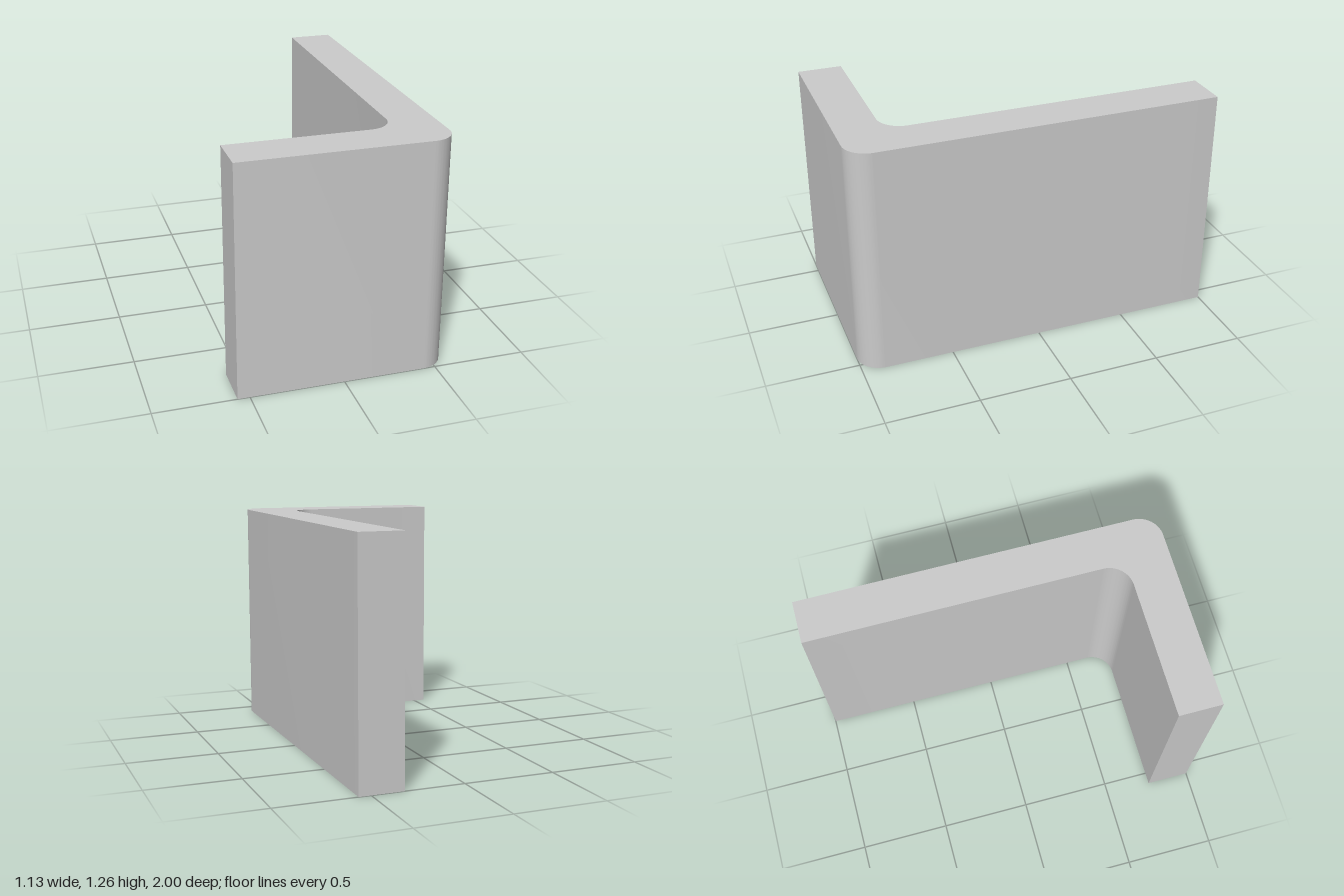
import * as THREE from 'three';
import { toCreasedNormals } from 'three/addons/utils/BufferGeometryUtils.js';

export function createModel() {
  const halfWidth = 0.565, halfDepth = 1, height = 1.265;
  const thickness = 0.24, radius = 0.13;

  // L-shaped profile seen from above; shape y is -z
  const outerX = halfWidth, innerX = halfWidth - thickness;
  const outerY = -halfDepth, innerY = -halfDepth + thickness;
  const profile = new THREE.Shape();
  profile.moveTo(-halfWidth, outerY);
  profile.lineTo(outerX - radius, outerY);
  profile.absarc(outerX - radius, outerY + radius, radius, -Math.PI / 2, 0, false); // outer bend
  profile.lineTo(outerX, halfDepth);
  profile.lineTo(innerX, halfDepth);
  profile.lineTo(innerX, innerY + radius);
  profile.absarc(innerX - radius, innerY + radius, radius, 0, -Math.PI / 2, true); // inner bend
  profile.lineTo(-halfWidth, innerY);
  profile.closePath();

  // Raise the profile upright, smooth around the bends and sharp at the edges
  const raised = new THREE.ExtrudeGeometry(profile, { depth: height, bevelEnabled: false, curveSegments: 16 });
  raised.rotateX(-Math.PI / 2);
  const bracket = new THREE.Mesh(
    toCreasedNormals(raised, Math.PI / 6),
    new THREE.MeshStandardMaterial({ color: 0xcccccc })
  );
  bracket.name = 'angleBracket';

  const model = new THREE.Group();
  model.name = 'bracketModel';
  model.add(bracket);
  return model;
}
